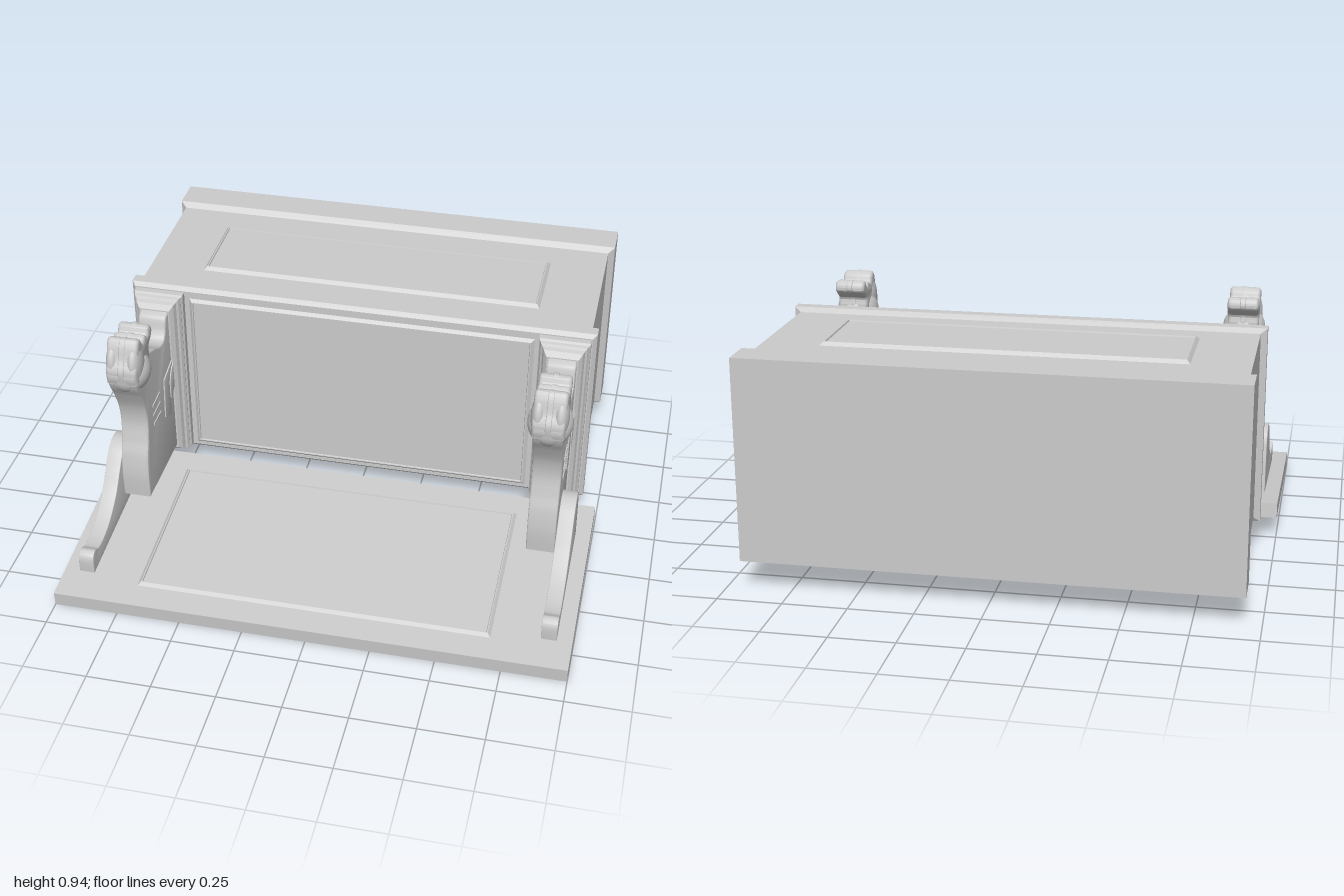
import * as THREE from 'three';
import { toCreasedNormals } from 'three/addons/utils/BufferGeometryUtils.js';

const material = new THREE.MeshStandardMaterial({ color: 0xcccccc });

function add(parent, name, geometry, x = 0, y = 0, z = 0) {
  const mesh = new THREE.Mesh(geometry, material);
  mesh.name = name;
  mesh.position.set(x, y, z);
  parent.add(mesh);
  return mesh;
}

// Loft of rectangles along +z; each section is [z, halfWidth, y0, y1]
function rectLoft(sections) {
  const pos = [];
  const idx = [];
  sections.forEach(([z, w, y0, y1]) => pos.push(-w, y0, z, w, y0, z, w, y1, z, -w, y1, z));
  const quad = (a, b, c, d) => idx.push(a, b, c, a, c, d);
  for (let s = 0; s < sections.length - 1; s++) {
    for (let i = 0; i < 4; i++) {
      const a = s * 4 + i;
      const b = s * 4 + (i + 1) % 4;
      quad(a, b, b + 4, a + 4);
    }
  }
  const e = (sections.length - 1) * 4;
  quad(3, 2, 1, 0);
  quad(e, e + 1, e + 2, e + 3);
  const indexed = new THREE.BufferGeometry();
  indexed.setAttribute('position', new THREE.Float32BufferAttribute(pos, 3));
  indexed.setIndex(idx);
  const g = indexed.toNonIndexed();
  g.computeVertexNormals();
  return g;
}

// Raised panel with sloped rim and a fine inner step
function panel(w, y0, y1, h) {
  const ring = (z, inset) => [z, w - inset, y0 + inset, y1 - inset];
  return rectLoft([ring(-0.005, 0), ring(0, 0), ring(h, 0.012), ring(h, 0.016), ring(h - 0.006, 0.018)]);
}

// Side profile in (z, y), extruded across x and centred
function profile(smooth, corners, width, bevel = 0.006) {
  const shape = new THREE.Shape();
  shape.moveTo(...smooth[0]);
  if (smooth.length > 1) shape.splineThru(smooth.slice(1).map(p => new THREE.Vector2(...p)));
  corners.forEach(p => shape.lineTo(...p));
  shape.closePath();
  const g = new THREE.ExtrudeGeometry(shape, {
    depth: width - 2 * bevel, curveSegments: 48, bevelEnabled: bevel > 0,
    bevelThickness: bevel, bevelSize: bevel, bevelOffset: -bevel, bevelSegments: 3
  });
  g.translate(0, 0, bevel - width / 2);
  g.rotateY(-Math.PI / 2);
  return toCreasedNormals(g, 0.6);
}

function createCabinet() {
  const g = new THREE.Group();
  g.name = 'cabinet';
  const band = [0.94, 0.118, 0.905];
  const body = [0.915, 0.136, 0.885];
  add(g, 'cabinetBody', rectLoft([
    [-0.9, ...band], [-0.765, ...band], [-0.745, ...body], [-0.14, ...body],
    [-0.13, ...band], [-0.085, ...band], [-0.07, 0.925, 0.133, 0.89]
  ]));
  add(g, 'frontPanel', panel(0.7, 0.15, 0.86, 0.012), 0, 0, -0.07);
  add(g, 'topPanel', panel(0.692, 0.255, 0.61, 0.014), 0, 0.885, 0).rotation.x = -Math.PI / 2;
  return g;
}

function createBoard() {
  const g = new THREE.Group();
  g.name = 'slopingBoard';
  g.position.set(0, 0.0735, 0.454);
  g.rotation.x = 0.09;
  add(g, 'board', new THREE.BoxGeometry(2, 0.06, 0.89));
  add(g, 'boardPanel', panel(0.694, -0.34, 0.345, 0.012), 0, 0.03, 0).rotation.x = -Math.PI / 2;
  return g;
}

// Bracket with its clawed head, side details and stepped pilaster
function createSupport(side) {
  const g = new THREE.Group();
  g.name = side > 0 ? 'leftSupport' : 'rightSupport';
  g.position.x = side * 0.82;

  add(g, 'pilaster', rectLoft([
    [-0.08, 0.1, 0.14, 0.885], [-0.045, 0.1, 0.14, 0.885], [-0.038, 0.094, 0.147, 0.875],
    [-0.03, 0.096, 0.142, 0.883], [-0.018, 0.09, 0.145, 0.88], [-0.012, 0.082, 0.15, 0.87],
    [0.005, 0.076, 0.155, 0.865], [0.02, 0.062, 0.17, 0.845]
  ]));

  add(g, 'arm', profile([
    [0.02, 0.84], [0.05, 0.825], [0.066, 0.775], [0.09, 0.748], [0.14, 0.752], [0.2, 0.782],
    [0.27, 0.81], [0.34, 0.85], [0.42, 0.85], [0.447, 0.8], [0.43, 0.74], [0.395, 0.68],
    [0.358, 0.6], [0.345, 0.52], [0.357, 0.44], [0.376, 0.37], [0.385, 0.28], [0.38, 0.18]
  ], [[0.01, 0.18], [0.01, 0.84]], 0.112));

  // Head: curled crest, thin centre rib, rounded belly and two side toes
  const crest = [
    [0.44, 0.76], [0.446, 0.82], [0.425, 0.865], [0.41, 0.915], [0.39, 0.94], [0.36, 0.93], [0.342, 0.902],
    [0.31, 0.915], [0.285, 0.9], [0.268, 0.925], [0.238, 0.92], [0.228, 0.89], [0.25, 0.865],
    [0.275, 0.845], [0.272, 0.81], [0.285, 0.76]
  ];
  add(g, 'headCrest', profile(crest, [], 0.125, 0.014));
  add(g, 'headRib', profile(crest.map(([z, y]) => [0.35 + (z - 0.35) * 1.04, y + 0.002]), [], 0.024, 0.006));
  add(g, 'headBelly', new THREE.SphereGeometry(1, 32, 20), 0, 0.78, 0.353).scale.set(0.086, 0.09, 0.093);
  for (const s of [-1, 1]) {
    add(g, 'headToe', new THREE.SphereGeometry(1, 24, 16), s * 0.042, 0.83, 0.385).scale.set(0.03, 0.085, 0.058);
    // Slats and shield ornament on each cheek
    for (let i = 0; i < 3; i++) {
      const slat = add(g, 'slat', new THREE.BoxGeometry(0.01, 0.01, 0.09), s * 0.055, 0.56 - i * 0.045, 0.233);
      slat.rotation.x = 0.08 - i * 0.04;
    }
    add(g, 'shield', profile([[0.13, 0.585]],
      [[0.02, 0.612], [0.02, 0.5], [0.06, 0.46], [0.075, 0.38], [0.142, 0.41]], 0.012, 0.004), s * 0.055);
    add(g, 'shieldLeaf', profile([[0.02, 0.6], [0.05, 0.575], [0.07, 0.53], [0.072, 0.46]],
      [[0.055, 0.46], [0.02, 0.49]], 0.02, 0.003), s * 0.055);
  }

  // Scrolled foot standing on the board
  add(g, 'foot', profile([
    [0.762, 0.07], [0.762, 0.14], [0.735, 0.165], [0.69, 0.148], [0.62, 0.152], [0.54, 0.18],
    [0.46, 0.235], [0.4, 0.305], [0.34, 0.37], [0.275, 0.392], [0.215, 0.365], [0.19, 0.28], [0.17, 0.125]
  ], [], 0.06, 0.002), side * 0.09);
  return g;
}

export function createModel() {
  const model = new THREE.Group();
  model.name = 'cabinetWithSlopingBoard';
  model.add(createCabinet(), createBoard(), createSupport(1), createSupport(-1));
  return model;
}
